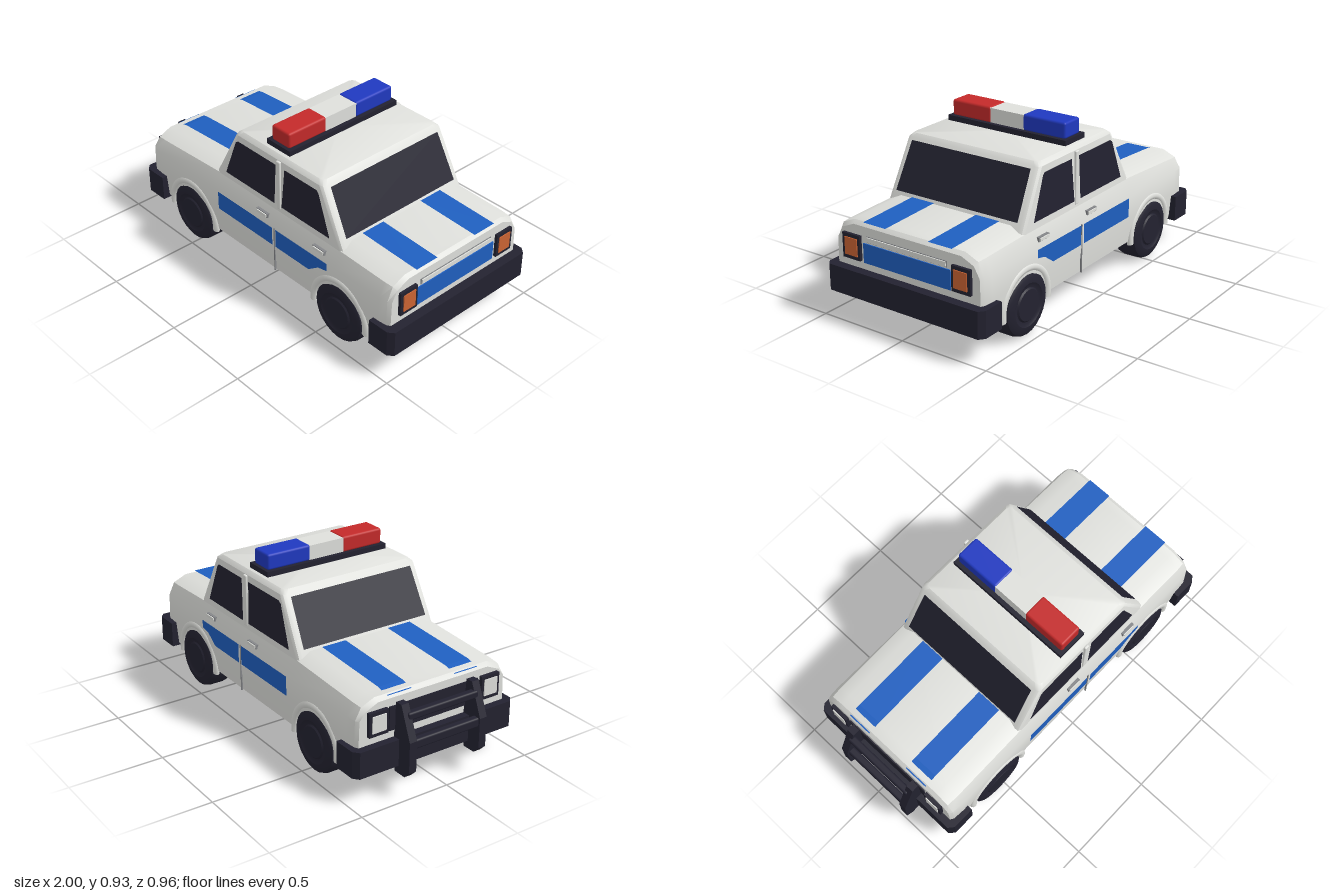
import * as THREE from 'three';
import { toCreasedNormals } from 'three/addons/utils/BufferGeometryUtils.js';
import { RoundedBoxGeometry } from 'three/addons/geometries/RoundedBoxGeometry.js';

const V = (x, y, z) => new THREE.Vector3(x, y, z);

function material(name, color, side = THREE.FrontSide) {
  const m = new THREE.MeshStandardMaterial({ color, side });
  m.name = name;
  return m;
}

// Closed solid through a list of equal-length rings, capped at both ends
function loft(rings, crease = 0.6) {
  const tris = [];
  const n = rings[0].length;
  for (let i = 0; i < rings.length - 1; i++) {
    for (let j = 0; j < n; j++) {
      const k = (j + 1) % n;
      const [a, b, c, d] = [rings[i][j], rings[i + 1][j], rings[i + 1][k], rings[i][k]];
      tris.push([a, b, c], [a, c, d]);
    }
  }
  [rings[0], rings[rings.length - 1]].forEach((ring, end) => {
    const mid = ring.reduce((s, p) => s.add(p), V(0, 0, 0)).divideScalar(n);
    for (let j = 0; j < n; j++) {
      const k = (j + 1) % n;
      tris.push(end ? [mid, ring[k], ring[j]] : [mid, ring[j], ring[k]]);
    }
  });
  // Turn all faces outward
  const volume = tris.reduce((s, [a, b, c]) => s + a.dot(b.clone().cross(c)), 0);
  const points = tris.flatMap(([a, b, c]) => (volume < 0 ? [a, c, b] : [a, b, c]));
  const g = new THREE.BufferGeometry().setFromPoints(points);
  return toCreasedNormals(g, crease);
}

// Flat painted face from a convex outline
function face(points) {
  const tris = [];
  for (let i = 1; i < points.length - 1; i++) tris.push(points[0], points[i], points[i + 1]);
  const g = new THREE.BufferGeometry().setFromPoints(tris);
  g.computeVertexNormals();
  return g;
}

function extrude(points, depth) {
  const shape = new THREE.Shape(points.map(([x, y]) => new THREE.Vector2(x, y)));
  return new THREE.ExtrudeGeometry(shape, { depth, bevelEnabled: false });
}

export function createModel() {
  const car = new THREE.Group();
  car.name = 'patrolCar';

  const white = material('bodyWhite', 0xdfe0dc);
  const dark = material('darkTrim', 0x232230);
  const glass = material('darkGlass', 0x232230, THREE.DoubleSide);
  const blue = material('stripeBlue', 0x1f5fc0, THREE.DoubleSide);
  const red = material('beaconRed', 0xc42a2a);
  const navy = material('beaconBlue', 0x2039c0);
  const orange = material('lampOrange', 0xcc6433);
  const grey = material('seamGrey', 0x85878a);

  const add = (name, geometry, mat, x = 0, y = 0, z = 0) => {
    const mesh = new THREE.Mesh(geometry, mat);
    mesh.name = name;
    mesh.position.set(x, y, z);
    car.add(mesh);
    return mesh;
  };
  const box = (name, mat, x0, x1, y0, y1, z0, z1, r = 0) => add(
    name,
    r ? new RoundedBoxGeometry(x1 - x0, y1 - y0, z1 - z0, 2, r) : new THREE.BoxGeometry(x1 - x0, y1 - y0, z1 - z0),
    mat, (x0 + x1) / 2, (y0 + y1) / 2, (z0 + z1) / 2);

  // Lower body: cross-sections along x as [x, top height, width factor]
  const stations = [
    [-0.88, 0.492, 0.965], [-0.86, 0.512, 0.99], [-0.8, 0.517, 1], [-0.34, 0.542, 1],
    [0.58, 0.538, 1], [0.88, 0.528, 1], [0.93, 0.525, 0.99], [0.95, 0.508, 0.965],
  ];
  add('lowerBody', loft(stations.map(([x, top, w]) => {
    const half = [[0.4, 0.135], [0.44, 0.16], [0.452, 0.3], [0.448, 0.42], [0.415, top - 0.032], [0.34, top]];
    const right = half.map(([z, y]) => V(x, y, z * w));
    return [...right, ...right.map((p) => V(p.x, p.y, -p.z)).reverse()];
  })), white);

  // Cabin: rounded rectangles stacked upward as [y, front x, back x, half width]
  const levels = [[0.5, -0.361, 0.606, 0.416], [0.8, -0.2, 0.45, 0.405], [0.82, -0.178, 0.43, 0.385]];
  add('cabin', loft(levels.map(([y, x0, x1, w]) => {
    const ring = [];
    const r = 0.025;
    [[x1, w, 0], [x0, w, 1], [x0, -w, 2], [x1, -w, 3]].forEach(([x, z, q]) => {
      const cx = x - r * Math.sign(x), cz = z - r * Math.sign(z);
      for (let s = 0; s <= 2; s++) {
        const a = (q + s / 2) * Math.PI / 2;
        ring.push(V(cx + r * Math.cos(a), y, cz + r * Math.sin(a)));
      }
    });
    return ring;
  }), 0.7), white);

  // Windscreen and rear window follow the cabin slope
  const slope = (from, to, y) => from + (to - from) * (y - 0.5) / 0.3;
  const screen = (name, from, to, out) => add(name, face([[0.557, 1], [0.557, -1], [0.79, -1], [0.79, 1]]
    .map(([y, s]) => V(slope(from, to, y) + out, y, s * (y < 0.6 ? 0.375 : 0.365)))), glass);
  screen('windscreen', -0.361, -0.2, -0.006);
  screen('rearWindow', 0.606, 0.45, 0.006);

  for (const s of [-1, 1]) {
    const side = s > 0 ? 'left' : 'right';
    // Side windows
    const sideGlass = (name, pts) => add(name, face(pts.map(([x, y]) => V(x, y, s * (slope(0.416, 0.405, y) + 0.004)))), glass);
    sideGlass(side + 'FrontWindow', [[-0.27, 0.542], [0.11, 0.542], [0.115, 0.768], [-0.172, 0.768], [-0.19, 0.755]]);
    sideGlass(side + 'BackWindow', [[0.163, 0.542], [0.51, 0.542], [0.425, 0.755], [0.41, 0.768], [0.18, 0.768]]);
    box(side + 'DoorPillar', white, 0.125, 0.153, 0.52, 0.8, s * 0.412 - 0.008, s * 0.412 + 0.008, 0.006);

    // Door stripes, seam and handles
    const stripe = (name, pts) => add(name, face(pts.map(([x, y]) => V(x, y, s * 0.456))), blue);
    stripe(side + 'FrontDoorStripe', [[-0.3, 0.315], [0.13, 0.315], [0.13, 0.42], [-0.3, 0.42]]);
    stripe(side + 'BackDoorStripe', [[0.155, 0.315], [0.4, 0.315], [0.47, 0.365], [0.53, 0.378], [0.53, 0.42], [0.155, 0.42]]);
    box(side + 'DoorSeam', grey, 0.139, 0.145, 0.16, 0.42, s * 0.45 - 0.004, s * 0.45 + 0.004);
    for (const x of [0.04, 0.46]) {
      box(side + 'HandleRecess', grey, x - 0.042, x + 0.042, 0.447, 0.47, s * 0.436 - 0.008, s * 0.436 + 0.008);
      box(side + 'DoorHandle', white, x - 0.036, x + 0.036, 0.452, 0.466, s * 0.44 - 0.01, s * 0.44 + 0.01);
    }

    // Bonnet and boot stripes
    const deck = (name, x0, y0, x1, y1) => add(name, face(
      [V(x0, y0, s * 0.13), V(x0, y0, s * 0.27), V(x1, y1, s * 0.27), V(x1, y1, s * 0.13)]), blue);
    deck(side + 'BonnetStripeFront', -0.872, 0.505, -0.8, 0.521);
    deck(side + 'BonnetStripe', -0.8, 0.521, -0.34, 0.546);
    deck(side + 'BootStripe', 0.58, 0.542, 0.945, 0.527);

    // Headlights and tail lights
    const lamp = (name, x0, x1, y0, y1, z0, z1, mat, r) => box(side + name, mat, x0, x1, y0, y1,
      Math.min(s * z0, s * z1), Math.max(s * z0, s * z1), r);
    lamp('HeadlightFrame', -0.9, -0.86, 0.33, 0.455, 0.28, 0.39, dark);
    lamp('Headlight', -0.905, -0.88, 0.35, 0.437, 0.295, 0.375, white);
    lamp('TailLightFrame', 0.93, 0.966, 0.328, 0.458, 0.28, 0.39, dark);
    lamp('TailLight', 0.95, 0.971, 0.348, 0.44, 0.295, 0.373, orange);

    // Bull bar upright
    add(side + 'BullBarUpright', extrude([[-1, 0.3], [-1, 0.14], [-0.965, 0.105], [-0.89, 0.105], [-0.88, 0.3],
      [-0.89, 0.47], [-0.93, 0.47]].reverse(), 0.042), dark, 0, 0, s * 0.211 - 0.021);

    // Wheels and arches
    for (const [end, x] of [['Front', -0.535], ['Back', 0.61]]) {
      const profile = [[0, 0.32], [0.145, 0.32], [0.16, 0.33], [0.165, 0.35], [0.165, 0.43], [0.157, 0.45],
        [0.14, 0.46], [0.112, 0.463], [0.1, 0.456], [0.088, 0.455], [0.08, 0.462], [0, 0.462]];
      const tyre = new THREE.LatheGeometry(profile.map(([r, h]) => new THREE.Vector2(r, h)), 24);
      const wheel = add(side + end + 'Wheel', toCreasedNormals(tyre, 0.6), dark, x, 0.166, 0);
      wheel.rotation.x = s * Math.PI / 2;
      const arch = new THREE.TorusGeometry(0.184, 0.021, 8, 24, Math.PI + 0.3);
      arch.rotateZ(-0.15).scale(1, 1, 0.8);
      add(side + end + 'WheelArch', arch, white, x, 0.166, s * 0.441);
    }
  }

  // Bumpers with chamfered corners
  const bumper = (name, inner, corner, outer) => {
    const half = [[inner, 0.48], [corner, 0.48], [outer, 0.455]];
    const outline = [...half, ...half.map(([x, z]) => [x, -z]).reverse()];
    const ring = (y) => outline.map(([x, z]) => V(x, y, z));
    add(name, loft([ring(0.145), ring(0.285)], 0.3), dark);
  };
  bumper('frontBumper', -0.765, -0.89, -0.92);
  bumper('rearBumper', 0.85, 0.97, 1);

  // Bull bar crossbars and grille
  box('bullBarLowerCrossbar', dark, -0.99, -0.95, 0.25, 0.3, -0.21, 0.21, 0.01);
  box('bullBarUpperCrossbar', dark, -0.96, -0.92, 0.39, 0.43, -0.21, 0.21, 0.01);
  box('grille', dark, -0.887, -0.87, 0.325, 0.45, -0.265, 0.265);

  // Tail panel and boot grip
  box('tailStripe', blue, 0.949, 0.956, 0.322, 0.424, -0.266, 0.266);
  box('bootGripShadow', grey, 0.945, 0.954, 0.432, 0.463, -0.245, 0.245);
  box('bootGrip', white, 0.945, 0.96, 0.436, 0.46, -0.241, 0.241);

  // Roof light bar
  box('lightBarBase', dark, 0, 0.17, 0.815, 0.848, -0.365, 0.365);
  box('redBeacon', red, 0.02, 0.15, 0.845, 0.93, 0.105, 0.35, 0.012);
  box('whiteBeacon', white, 0.023, 0.147, 0.845, 0.925, -0.1, 0.11);
  box('blueBeacon', navy, 0.02, 0.15, 0.845, 0.93, -0.35, -0.095, 0.012);

  return car;
}
